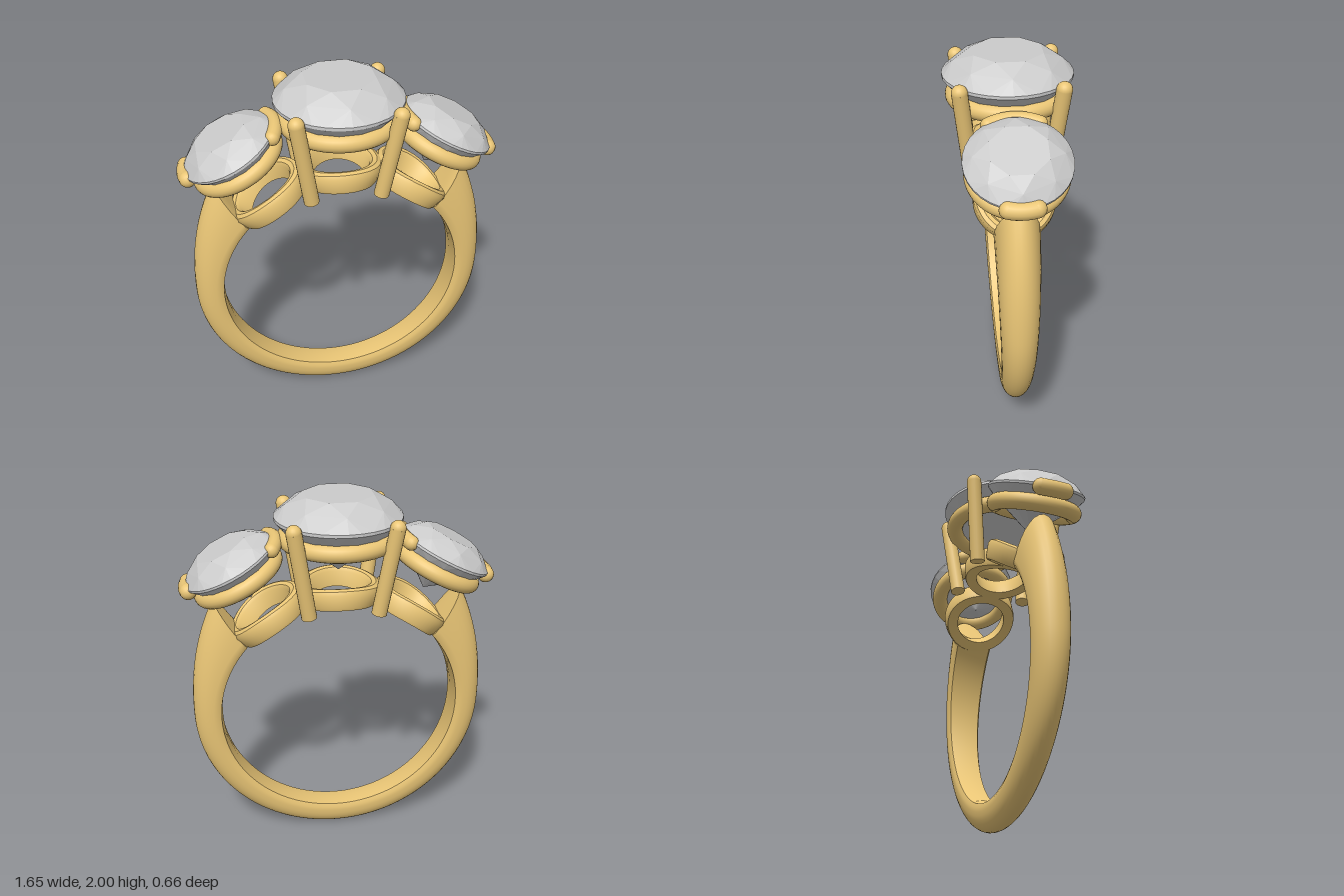
import * as THREE from 'three';
import { toCreasedNormals } from 'three/addons/utils/BufferGeometryUtils.js';
import { ConvexGeometry } from 'three/addons/geometries/ConvexGeometry.js';

const CY = 0.8;      // height of the finger hole's centre
const BORE = 0.645;  // radius of the finger hole
const gold = new THREE.MeshStandardMaterial({ color: 0xeac676 });
const stoneMat = new THREE.MeshStandardMaterial({ color: 0xcccccc, flatShading: true });

function add(parent, name, geometry, material = gold) {
  const mesh = new THREE.Mesh(geometry, material);
  mesh.name = name;
  parent.add(mesh);
  return mesh;
}

// Tapered band: a D-shaped section swept round the bore, open at the top
function shankGeometry() {
  const STEPS = 120, ARC = 14;
  const positions = [], index = [];
  let n = 0;
  for (let i = 0; i <= STEPS; i++) {
    const v = (i / STEPS) * 2 - 1;
    const nominal = Math.abs(v) * 2.365;
    const rise = Math.max(0, (nominal - Math.PI / 2) / 0.794);
    const outer = 0.8 + 0.14 * rise * rise;
    const w = 0.069 + 0.033 * (CY - 0.75 * Math.cos(nominal));
    const section = [[w * 0.88, BORE + 0.008], [w, BORE + 0.03]];
    const base = BORE + 0.05;
    for (let k = 0; k <= ARC; k++) {
      const t = (k / ARC) * Math.PI;
      section.push([w * Math.cos(t), base + (outer - base) * Math.sin(t)]);
    }
    section.push([-w, BORE + 0.03], [-w * 0.88, BORE + 0.008], [0, BORE]);
    n = section.length;
    for (const [z, r] of section) {
      const a = v * (2.281 + (r - 0.65) * 0.29); // slanted end faces
      positions.push(r * Math.sin(a), CY - r * Math.cos(a), z);
    }
  }
  for (let i = 0; i < STEPS; i++) {
    for (let j = 0; j < n; j++) {
      const a = i * n + j, b = i * n + (j + 1) % n;
      index.push(a, b, a + n, b, b + n, a + n);
    }
  }
  const last = STEPS * n;
  for (let j = 1; j < n - 1; j++) {
    index.push(0, j + 1, j, last, last + j, last + j + 1);
  }
  const g = new THREE.BufferGeometry();
  g.setAttribute('position', new THREE.Float32BufferAttribute(positions, 3));
  g.setIndex(index);
  return toCreasedNormals(g, 0.6);
}

// Flat collar bent to follow the finger hole, centred at an angle from the top
function bentCollar(angle) {
  const profile = [
    [0.2, 0.645], [0.205, 0.66], [0.205, 0.73], [0.195, 0.748], [0.175, 0.755],
    [0.155, 0.748], [0.145, 0.73], [0.14, 0.645], [0.2, 0.645],
  ].map(([r, y]) => new THREE.Vector2(r, y));
  const g = new THREE.LatheGeometry(profile, 64);
  const p = g.attributes.position;
  for (let i = 0; i < p.count; i++) {
    const a = angle + p.getX(i) / 0.66, r = p.getY(i);
    p.setXY(i, r * Math.sin(a), CY + r * Math.cos(a));
  }
  g.deleteAttribute('normal');
  g.deleteAttribute('uv');
  return toCreasedNormals(g, 0.6);
}

// Brilliant-cut stone of girdle radius 0.33, with the girdle at y = 0
function stoneGeometry() {
  const points = [new THREE.Vector3(0, -0.29, 0)];
  const ring = (count, r, y, turn = 0) => {
    for (let i = 0; i < count; i++) {
      const a = ((i + turn) / count) * Math.PI * 2;
      points.push(new THREE.Vector3(r * Math.sin(a), y, r * Math.cos(a)));
    }
  };
  ring(8, 0.185, 0.115, 0.5);  // table
  ring(8, 0.272, 0.068);       // crown
  ring(32, 0.33, 0.006);       // girdle
  ring(32, 0.33, -0.01);
  ring(16, 0.285, -0.062, 0.5); // pavilion
  return new ConvexGeometry(points);
}

// Straight round prong with a domed tip
function prong(parent, name, from, to, radius) {
  const axis = to.clone().sub(from);
  const group = new THREE.Group();
  group.name = name;
  const stem = add(group, 'prongStem', new THREE.CylinderGeometry(radius, radius, axis.length(), 20));
  stem.position.copy(from).addScaledVector(axis, 0.5);
  stem.quaternion.setFromUnitVectors(new THREE.Vector3(0, 1, 0), axis.normalize());
  add(group, 'prongTip', new THREE.SphereGeometry(radius, 20, 14)).position.copy(to);
  parent.add(group);
}

// Curved claw along the girdle, centred on a direction in the xz plane
function claw(parent, name, direction, halfAngle, tube) {
  const R = 0.257, group = new THREE.Group();
  group.name = name;
  const bar = new THREE.TorusGeometry(R, tube, 16, 28, halfAngle * 2);
  bar.rotateZ(-halfAngle).rotateX(Math.PI / 2);
  add(group, 'clawBar', bar);
  for (const s of [-1, 1]) {
    add(group, 'clawEnd', new THREE.SphereGeometry(tube, 16, 12))
      .position.set(R * Math.cos(halfAngle), 0, s * R * Math.sin(halfAngle));
  }
  group.rotation.y = direction;
  group.position.y = -0.012;
  parent.add(group);
}

function seatRing(parent, radius, y) {
  const g = new THREE.TorusGeometry(radius, 0.045, 20, 64).rotateX(Math.PI / 2);
  add(parent, 'seatRing', g).position.y = y;
}

export function createModel() {
  const model = new THREE.Group();
  model.name = 'threeStoneRing';
  add(model, 'shank', shankGeometry());

  // Centre setting
  const centre = new THREE.Group();
  centre.name = 'centreSetting';
  model.add(centre);
  add(centre, 'centreCollar', bentCollar(0));
  seatRing(centre, 0.27, 1.775);
  add(centre, 'centreStone', stoneGeometry(), stoneMat).position.y = 1.885;
  for (const sx of [-1, 1]) {
    for (const sz of [-1, 1]) {
      prong(centre, 'centreProng',
        new THREE.Vector3(sx * 0.18, 1.42, sz * 0.2),
        new THREE.Vector3(sx * 0.254, 1.886, sz * 0.25), 0.04);
    }
  }

  // Tilted side settings, mirrored; each faces outwards
  for (const s of [-1, 1]) {
    const name = s > 0 ? 'left' : 'right';
    add(model, name + 'Collar', bentCollar(s * 0.585));
    const side = new THREE.Group();
    side.name = name + 'Setting';
    side.position.set(s * 0.56, 1.67, 0);
    side.rotation.z = -s * 0.47;
    add(side, 'sideStone', stoneGeometry(), stoneMat).scale.setScalar(0.785);
    seatRing(side, 0.208, -0.088);
    claw(side, 'outerClaw', s > 0 ? 0 : Math.PI, 0.26, 0.043);
    claw(side, 'innerClaw', s > 0 ? Math.PI : 0, 0.5, 0.038);
    model.add(side);
  }
  return model;
}
